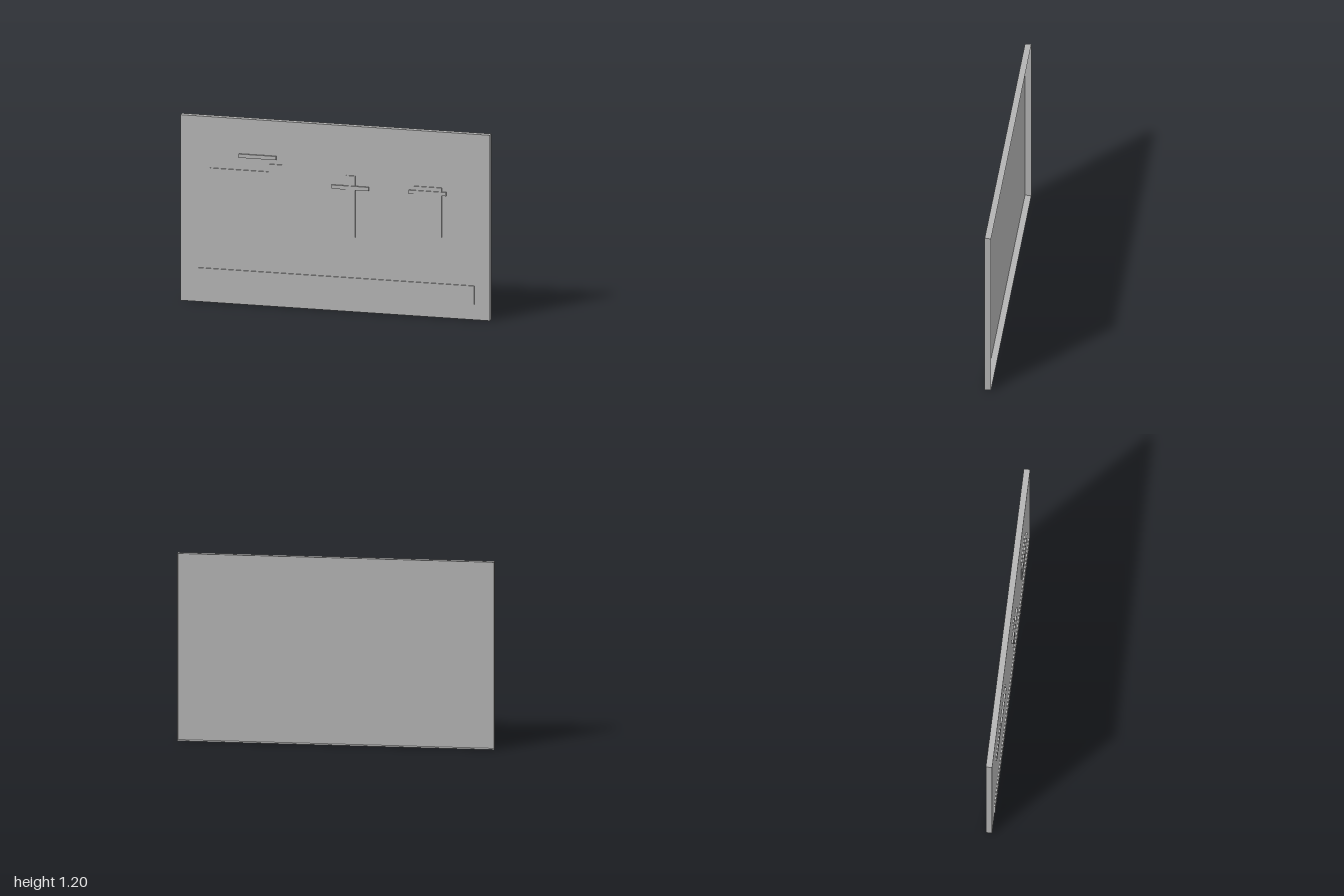
import * as THREE from 'three';

export function createModel() {
  const model = new THREE.Group();
  const grey = new THREE.MeshStandardMaterial({ color: 0xb3b3b3, side: THREE.DoubleSide });
  grey.name = 'plain grey';

  // Box given by its limits on each axis
  function addBox(name, [x0, x1], [y0, y1], [z0, z1]) {
    const mesh = new THREE.Mesh(new THREE.BoxGeometry(x1 - x0, y1 - y0, z1 - z0), grey);
    mesh.position.set((x0 + x1) / 2, (y0 + y1) / 2, (z0 + z1) / 2);
    mesh.name = name;
    model.add(mesh);
    return mesh;
  }

  // Shallow panel, open at the back: drop the last (-z) face of the box
  const panel = addBox('openBackPanel', [-1, 1], [0, 1.2], [-0.028, 0.012]).geometry;
  panel.setIndex(Array.from(panel.index.array).slice(0, 30));
  panel.clearGroups();

  // Thin raised plates on the front
  const plateZ = [0.012, 0.02];
  addBox('bottomStrip', [-0.9, 0.9], [0.1, 0.22], plateZ);
  addBox('longPlate', [-0.81, -0.39], [0.81, 0.87], plateZ);
  addBox('endPlate', [-0.43, -0.34], [0.76, 0.92], plateZ);
  addBox('uprightPlate', [0.07, 0.13], [0.48, 0.88], plateZ);
  addBox('widePlate', [0.51, 0.69], [0.52, 0.84], plateZ);

  // Small holding bars, one above or across each set of plates
  for (const [name, x, y] of [['leftBar', -0.5, 0.963], ['middleBar', 0.1, 0.803], ['rightBar', 0.6, 0.803]]) {
    addBox(name, [x - 0.12, x + 0.12], [y - 0.012, y + 0.012], [0.016, 0.028]);
  }
  return model;
}
